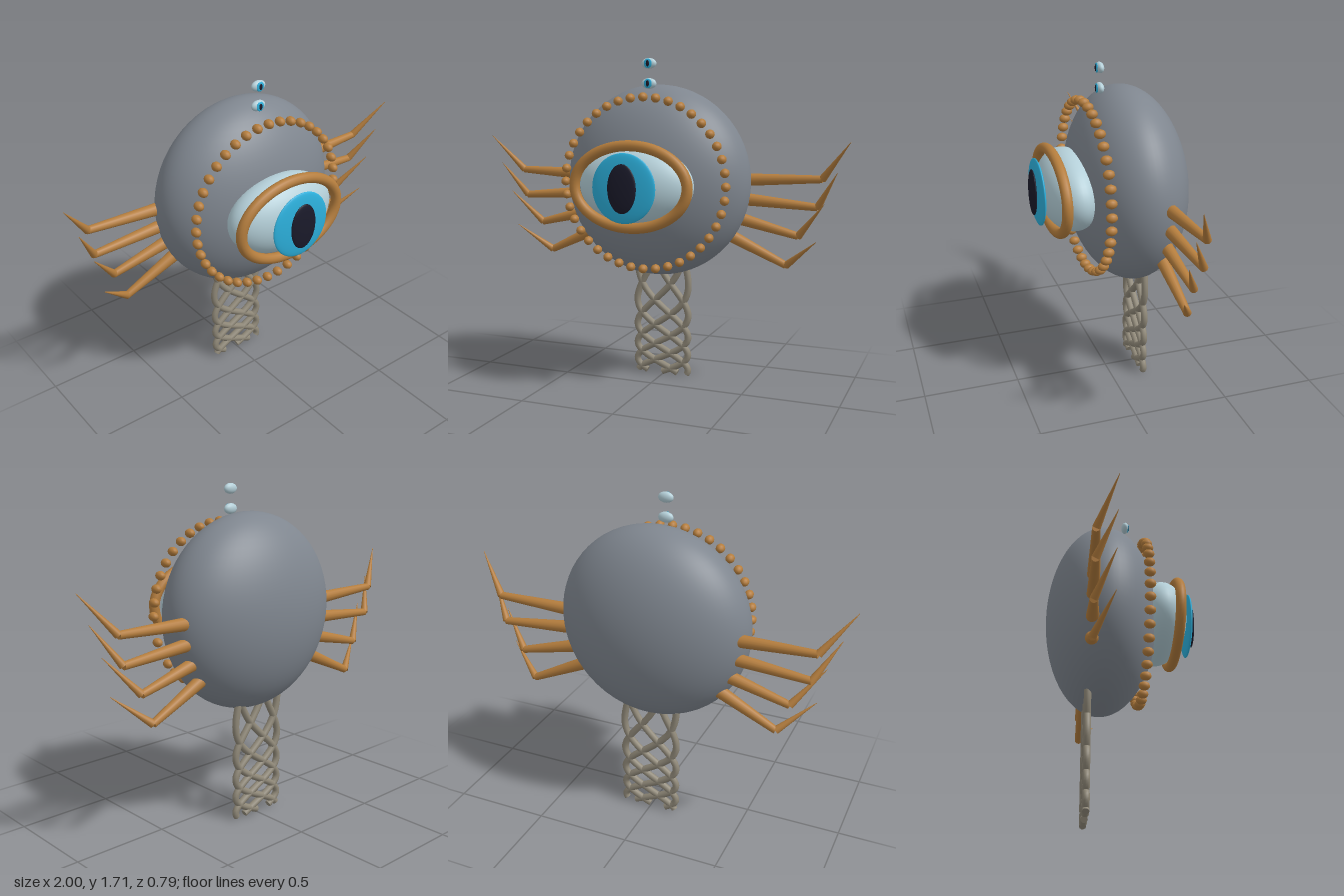
import * as THREE from 'three';

const paint = (color) => new THREE.MeshStandardMaterial({ color });
const slate = paint(0x7f868f), gold = paint(0xb47d3d), cord = paint(0x8f8878);
const white = paint(0xb4cfd8), blue = paint(0x2cb0dc), black = paint(0x1a1a2a);
const CY = 1.077; // height of the body centre

function add(parent, name, geometry, material) {
  const mesh = new THREE.Mesh(geometry, material);
  mesh.name = name;
  parent.add(mesh);
  return mesh;
}

function ellipsoid(parent, name, material, pos, radii, seg = 32) {
  const mesh = add(parent, name, new THREE.SphereGeometry(1, seg, seg / 2), material);
  mesh.position.set(...pos);
  mesh.scale.set(...radii);
  return mesh;
}

// Tapered round rod between two points
function rod(parent, name, a, b, rA, rB, material) {
  const dir = b.clone().sub(a);
  const mesh = add(parent, name, new THREE.CylinderGeometry(rB, rA, dir.length(), 16), material);
  mesh.position.copy(a).addScaledVector(dir, 0.5);
  mesh.quaternion.setFromUnitVectors(new THREE.Vector3(0, 1, 0), dir.normalize());
}

// Closed elliptical path for the eyelid rim
class EllipsePath extends THREE.Curve {
  getPoint(t, target = new THREE.Vector3()) {
    const a = t * Math.PI * 2;
    return target.set(0.298 * Math.cos(a), CY + 0.202 * Math.sin(a), 0.283);
  }
}

// Flat, weaving strand whose waves grow longer toward the top
class StrandPath extends THREE.Curve {
  constructor(phase) {
    super();
    this.phase = phase;
  }
  getPoint(t, target = new THREE.Vector3()) {
    const u = t * 0.61;
    const a = this.phase + (12.7 * u - 8.3 * u * u) * Math.PI * 0.4;
    return target.set(0.148 * Math.sin(a), 0.015 + u, -0.172);
  }
}

export function createModel() {
  const model = new THREE.Group();
  model.name = 'floatingEye';

  ellipsoid(model, 'body', slate, [0, CY, -0.1], [0.5, 0.5, 0.292], 64);

  // Large central eye
  const eye = new THREE.Group();
  eye.name = 'mainEye';
  model.add(eye);
  ellipsoid(eye, 'eyeball', white, [0, CY, 0.2], [0.3, 0.2, 0.15], 48);
  ellipsoid(eye, 'iris', blue, [0, CY, 0.357], [0.165, 0.171, 0.02], 48);
  ellipsoid(eye, 'pupil', black, [0, CY, 0.38], [0.075, 0.12, 0.014]);
  add(eye, 'eyelidRim', new THREE.TubeGeometry(new EllipsePath(), 80, 0.027, 14, true), gold);

  // Ring of beads around the face
  const beads = new THREE.Group();
  beads.name = 'beadRing';
  model.add(beads);
  for (let i = 0; i < 40; i++) {
    const a = (i / 40) * Math.PI * 2;
    ellipsoid(beads, 'bead', gold,
      [0.436 * Math.cos(a), CY + 0.436 * Math.sin(a), 0.11], [0.023, 0.023, 0.029], 16);
  }

  // Two small eyes floating above
  for (const y of [1.58, 1.68]) {
    const small = new THREE.Group();
    small.name = 'smallEye';
    model.add(small);
    ellipsoid(small, 'smallEyeball', white, [0, y, 0.028], [0.04, 0.027, 0.02], 24);
    ellipsoid(small, 'smallIris', blue, [0, y, 0.044], [0.022, 0.024, 0.005], 20);
    ellipsoid(small, 'smallPupil', black, [0, y, 0.049], [0.009, 0.016, 0.003], 16);
  }

  // Jointed arms with pointed claws: base, elbow and tip in x, y
  const arms = [
    [0.42, 1.09, 0.85, 1.105, 1.0, 1.297],
    [0.42, 0.993, 0.83, 0.962, 0.94, 1.147],
    [0.4, 0.895, 0.735, 0.81, 0.88, 0.99],
    [0.36, 0.805, 0.675, 0.655, 0.845, 0.8],
  ];
  for (const side of [1, -1]) {
    for (const [bx, by, ex, ey, tx, ty] of arms) {
      const arm = new THREE.Group();
      arm.name = side > 0 ? 'leftArm' : 'rightArm';
      model.add(arm);
      const base = new THREE.Vector3(side * bx, by, -0.168);
      const elbow = new THREE.Vector3(side * ex, ey, -0.182);
      const tip = new THREE.Vector3(side * tx, ty, -0.09);
      rod(arm, 'upperArm', base, elbow, 0.034, 0.019, gold);
      rod(arm, 'claw', elbow, tip, 0.02, 0.001, gold);
    }
  }

  // Woven stalk of five strands
  const stalk = new THREE.Group();
  stalk.name = 'stalk';
  model.add(stalk);
  for (let i = 0; i < 5; i++) {
    const path = new StrandPath((i / 5) * Math.PI * 2);
    add(stalk, 'strand', new THREE.TubeGeometry(path, 72, 0.018, 10), cord);
    // End caps
    for (const t of [0, 1]) {
      const cap = add(stalk, 'strandEnd', new THREE.CircleGeometry(0.018, 10), cord);
      const p = path.getPointAt(t);
      cap.position.copy(p);
      cap.lookAt(p.clone().addScaledVector(path.getTangentAt(t), t ? 1 : -1));
    }
  }
  return model;
}
